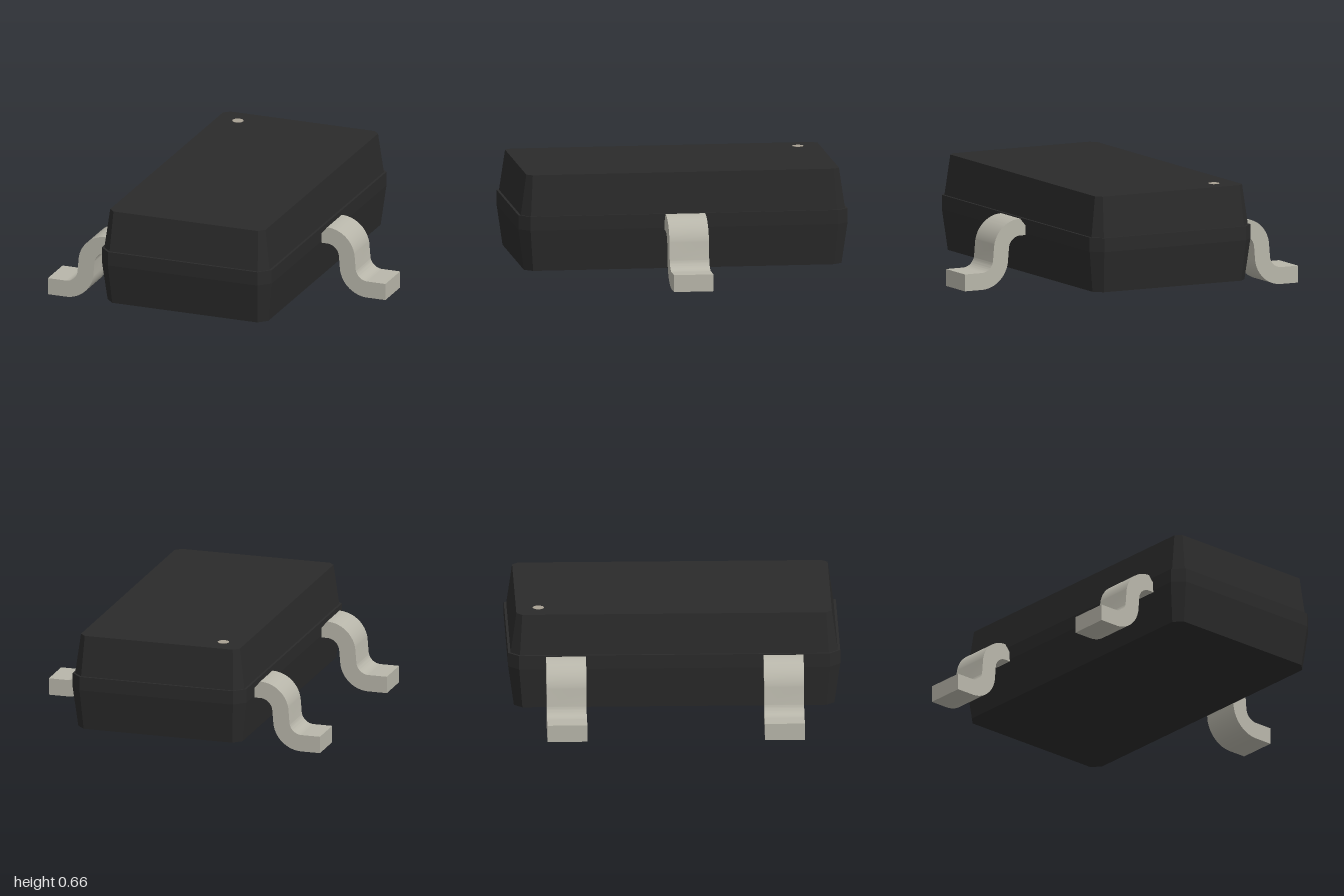
import * as THREE from 'three';
import { toCreasedNormals } from 'three/addons/utils/BufferGeometryUtils.js';

// Octagonal outline: rectangle with chamfered corners, stepping from +x towards +z
function outline({ y, x, z, c }) {
  return [
    [x, -z + c], [x, z - c], [x - c, z], [-x + c, z],
    [-x, z - c], [-x, -z + c], [-x + c, -z], [x - c, -z],
  ].map(([px, pz]) => [px, y, pz]);
}

// Closed, flat-sided solid through a stack of outlines, bottom to top
function stackGeometry(sections) {
  const rings = sections.map(outline);
  const n = rings[0].length;
  const pos = [];
  const tri = (...pts) => pts.forEach((p) => pos.push(...p));
  for (let i = 0; i < rings.length - 1; i++) {
    for (let j = 0; j < n; j++) {
      const k = (j + 1) % n;
      const [a, b, c, d] = [rings[i][j], rings[i][k], rings[i + 1][k], rings[i + 1][j]];
      tri(a, d, c);
      tri(a, c, b);
    }
  }
  const bottom = rings[0], top = rings[rings.length - 1];
  for (let j = 1; j < n - 1; j++) {
    tri(bottom[0], bottom[j], bottom[j + 1]);
    tri(top[0], top[j + 1], top[j]);
  }
  const g = new THREE.BufferGeometry();
  g.setAttribute('position', new THREE.Float32BufferAttribute(pos, 3));
  g.computeVertexNormals();
  return g;
}

// Gull-wing lead: S-bent strip of constant thickness, pointing to +x
function leadGeometry(width) {
  const tilt = THREE.MathUtils.degToRad(8);
  const big = 0.18, small = 0.077;
  const shoulder = [0.585, 0.235], ankle = [0.847, 0.18];
  const up = Math.PI / 2;
  const s = new THREE.Shape();
  s.moveTo(0.5, shoulder[1] + big);
  s.absarc(...shoulder, big, up, tilt, true);
  s.absarc(...ankle, small, Math.PI + tilt, 3 * up, false);
  s.lineTo(0.963, ankle[1] - small);
  s.lineTo(0.963, 0);
  s.absarc(...ankle, big, 3 * up, Math.PI + tilt, true);
  s.absarc(...shoulder, small, tilt, up, false);
  s.lineTo(0.5, shoulder[1] + small);
  s.closePath();
  const g = new THREE.ExtrudeGeometry(s, { depth: width, bevelEnabled: false, curveSegments: 14 });
  g.translate(0, 0, -width / 2);
  return toCreasedNormals(g, 0.5);
}

export function createModel() {
  const model = new THREE.Group();
  model.name = 'transistorPackage';

  const plastic = new THREE.MeshStandardMaterial({ color: 0x2a2a2a, flatShading: true });
  const metal = new THREE.MeshStandardMaterial({ color: 0xb8b6aa });
  const paint = new THREE.MeshStandardMaterial({ color: 0xa8a092 });

  // Moulded body: tapered lower half, straight rim, ledge and narrower upper half
  const body = new THREE.Mesh(stackGeometry([
    { y: 0.075, x: 0.52, z: 0.965, c: 0.05 },
    { y: 0.325, x: 0.55, z: 1.0, c: 0.065 },
    { y: 0.41, x: 0.55, z: 1.0, c: 0.065 },
    { y: 0.41, x: 0.535, z: 0.985, c: 0.055 },
    { y: 0.655, x: 0.503, z: 0.95, c: 0.035 },
  ]), plastic);
  body.name = 'body';
  model.add(body);

  // One lead on the left side, two on the right
  const leadShape = leadGeometry(0.24);
  const leads = [
    ['leftLead', 0, 0],
    ['rightFrontLead', 0.655, Math.PI],
    ['rightBackLead', -0.655, Math.PI],
  ];
  for (const [name, z, turn] of leads) {
    const lead = new THREE.Mesh(leadShape, metal);
    lead.name = name;
    lead.position.z = z;
    lead.rotation.y = turn;
    model.add(lead);
  }

  // Orientation dot on the top face
  const dot = new THREE.Mesh(new THREE.CylinderGeometry(0.034, 0.034, 0.004, 32), paint);
  dot.name = 'orientationDot';
  dot.position.set(-0.365, 0.655, -0.815);
  model.add(dot);

  return model;
}
